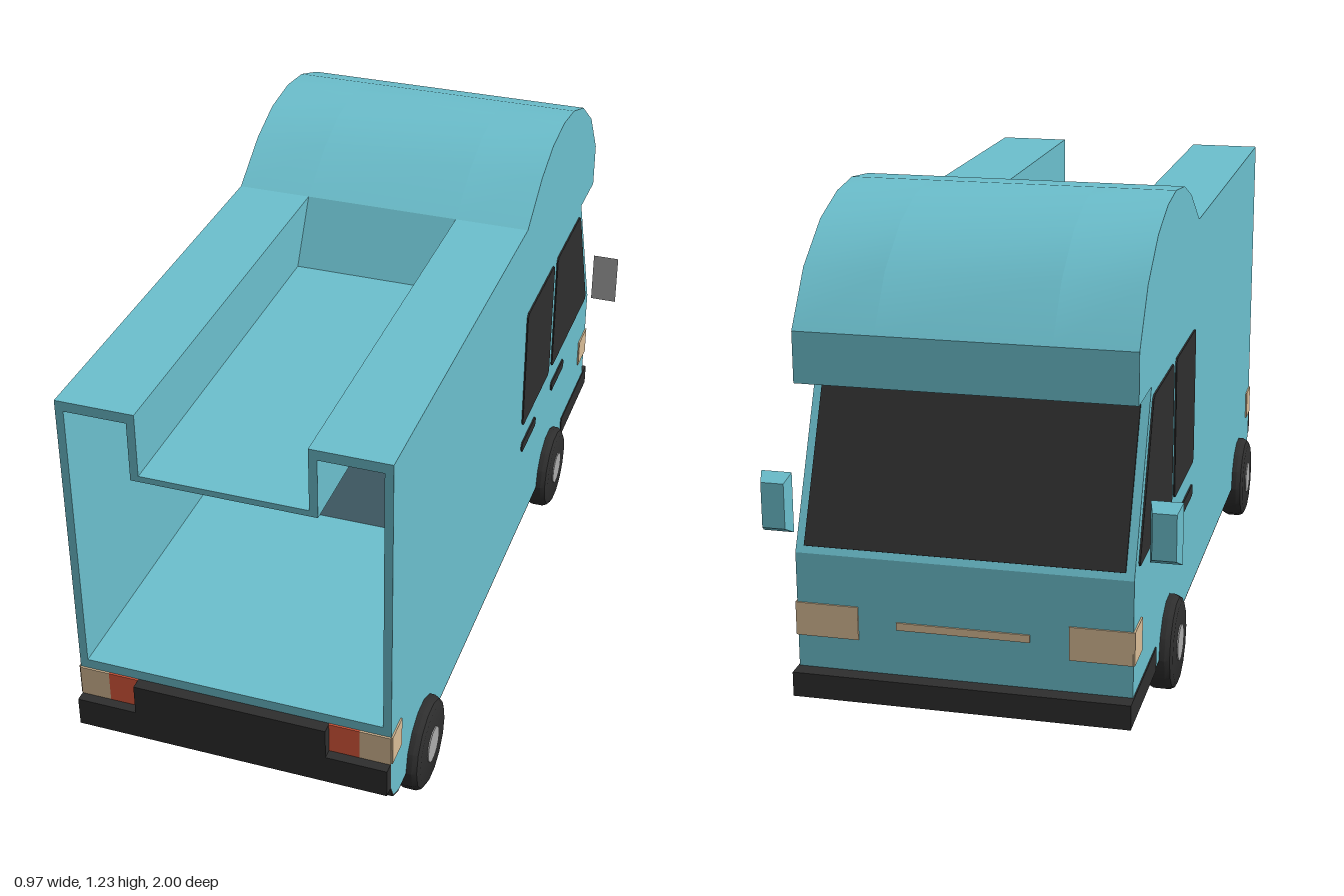
import * as THREE from 'three';
import { toCreasedNormals } from 'three/addons/utils/BufferGeometryUtils.js';

const mat = (name, color) => Object.assign(new THREE.MeshStandardMaterial({ color }), { name });

const shapeOf = (pts) => new THREE.Shape(pts.map(([a, b]) => new THREE.Vector2(a, b)));

// Side profile given as [z, y] points, extruded from x0 to x1
function acrossX(pts, x0, x1) {
  const g = new THREE.ExtrudeGeometry(shapeOf(pts), { depth: x1 - x0, bevelEnabled: false });
  g.rotateY(-Math.PI / 2).translate(x1, 0, 0);
  return toCreasedNormals(g, 0.4);
}

// Cross-section given as [x, y] points, extruded from z0 to z1
function alongZ(pts, z0, z1, hole) {
  const s = shapeOf(pts);
  if (hole) s.holes.push(shapeOf(hole));
  return new THREE.ExtrudeGeometry(s, { depth: z1 - z0, bevelEnabled: false }).translate(0, 0, z0);
}

function box(x0, x1, y0, y1, z0, z1) {
  return new THREE.BoxGeometry(x1 - x0, y1 - y0, z1 - z0)
    .translate((x0 + x1) / 2, (y0 + y1) / 2, (z0 + z1) / 2);
}

const rect = (z0, z1, y0, y1) => [[z0, y0], [z1, y0], [z1, y1], [z0, y1]];

// Rectangle with the corners cut
const softRect = (z0, z1, y0, y1, r) => [
  [z0 + r, y0], [z1 - r, y0], [z1, y0 + r], [z1, y1 - r],
  [z1 - r, y1], [z0 + r, y1], [z0, y1 - r], [z0, y0 + r],
];

// Cross-section with a notch in its top
const notched = (w, n, y0, yn, y1) => [
  [-w, y0], [w, y0], [w, y1], [n, y1], [n, yn], [-n, yn], [-n, y1], [-w, y1],
];

export function createModel() {
  const model = new THREE.Group();
  model.name = 'camperVan';
  const teal = mat('bodyTeal', 0x6cc0ce);
  const black = mat('trimBlack', 0x2e2e2e);
  const slate = mat('innerWallSlate', 0x6f9aa9);
  const tan = mat('lampTan', 0xdabd97);
  const red = mat('lampRed', 0xdf5b3d);
  const grey = mat('metalGrey', 0xacacac);

  const add = (name, geometry, material, parent = model) => {
    const m = new THREE.Mesh(geometry, material);
    m.name = name;
    parent.add(m);
    return m;
  };

  const W = 0.39, N = 0.2, WALL = 0.24, BACK = 0.97;

  // Cab and domed roof: two tall side slices and a centre slice with the roof channel
  const cab = [
    [-0.13, 1.09], [-0.26, 1.175], [-0.37, 1.217], [-0.49, 1.23], [-0.6, 1.217],
    [-0.72, 1.175], [-0.84, 1.09], [-0.93, 0.965], [-0.93, 0.845], [-0.78, 0.845],
    [-0.96, 0.455], [-0.96, 0.12], [WALL, 0.12],
  ];
  add('cabCentre', acrossX([[WALL, 0.93], [-0.04, 0.93], ...cab], -N, N), teal);
  add('cabLeft', acrossX([[WALL, 1.09], ...cab], N, W), teal);
  add('cabRight', acrossX([[WALL, 1.09], ...cab], -W, -N), teal);

  // Open cargo box with the roof channel
  add('cargoShell', alongZ(notched(W, N, 0.18, 0.93, 1.09), WALL, BACK,
    notched(0.37, 0.22, 0.36, 0.915, 1.065)), teal);
  add('cargoInnerWall', alongZ(notched(0.37, 0.22, 0.36, 0.915, 1.065), WALL, WALL + 0.005), slate);
  add('cargoSill', acrossX([[WALL, 0.18], [WALL, 0.12], [0.91, 0.12], [0.95, 0.14], [BACK, 0.18]],
    -W, W), teal);

  // Black underside
  add('underside', acrossX([
    [-0.96, 0.12], [-0.96, 0.116], [0.912, 0.116], [0.954, 0.137], [0.975, 0.18],
    [BACK, 0.18], [0.95, 0.14], [0.91, 0.12],
  ], -W, W), black);

  // Bumpers
  add('frontBumper', box(-0.393, 0.393, 0.118, 0.177, -1, -0.68), black);
  add('rearBumper', box(-W, W, 0.18, 0.255, BACK, 1), black);
  add('rearBumperPanel', box(-0.24, 0.24, 0.255, 0.335, BACK, 1), black);

  // Windscreen lies on the sloping cab front
  add('windscreen', acrossX([
    [-0.7915, 0.82], [-0.797, 0.8225], [-0.9585, 0.4725], [-0.953, 0.47],
  ], -0.37, 0.37), black);
  add('noseStrip', box(-0.155, 0.155, 0.288, 0.306, -0.964, -0.958), tan);

  // Painted details repeated on both sides
  const sideWindow = softRect(-0.46, -0.17, 0.47, 0.82, 0.01);
  const cabWindow = [
    [-0.505, 0.47], [-0.905, 0.47], [-0.912, 0.48], [-0.768, 0.812],
    [-0.755, 0.82], [-0.505, 0.82], [-0.495, 0.81], [-0.495, 0.48],
  ];
  for (const s of [1, -1]) {
    const side = s > 0 ? 'left' : 'right';
    const plate = (name, pts, m) =>
      add(side + name, acrossX(pts, s * W - 0.004, s * W + 0.004), m);
    plate('SideWindow', sideWindow, black);
    plate('CabWindow', cabWindow, black);
    plate('RearHandle', softRect(-0.325, -0.175, 0.38, 0.41, 0.008), black);
    plate('FrontHandle', softRect(-0.65, -0.505, 0.38, 0.41, 0.008), black);
    plate('HeadlampSide', rect(-0.962, -0.872, 0.255, 0.335), tan);
    plate('TailLampSide', rect(0.9, BACK, 0.255, 0.335), tan);

    const span = (a, b) => (s > 0 ? [a, b] : [-b, -a]);
    add(side + 'Headlamp', box(...span(0.245, W), 0.255, 0.335, -0.964, -0.958), tan);
    add(side + 'TailLampOuter', box(...span(0.315, W), 0.255, 0.335, BACK - 0.002, BACK + 0.005), tan);
    add(side + 'TailLampInner', box(...span(0.24, 0.315), 0.255, 0.335, BACK - 0.002, BACK + 0.005), red);

    // Mirror: box tapered toward the front with a grey glass face
    const g = new THREE.BoxGeometry(0.073, 0.145, 0.032);
    const p = g.attributes.position;
    for (let i = 0; i < p.count; i++) {
      if (p.getZ(i) < 0) p.setXY(i, p.getX(i) * 0.75, p.getY(i) * 0.75);
    }
    g.computeVertexNormals();
    add(side + 'Mirror', g, [teal, teal, teal, teal, grey, teal])
      .position.set(s * 0.45, 0.552, -0.918);
  }

  // Wheels: single in front, paired at the rear
  const tyreGeo = toCreasedNormals(new THREE.LatheGeometry([
    [0, -0.034], [0.1, -0.034], [0.112, -0.028], [0.118, -0.016],
    [0.118, 0.016], [0.112, 0.028], [0.1, 0.034], [0, 0.034],
  ].map(([r, y]) => new THREE.Vector2(r, y)), 14).rotateZ(Math.PI / 2), 0.6);
  const hubGeo = new THREE.CylinderGeometry(0.045, 0.045, 0.074, 14).rotateZ(Math.PI / 2);
  const wheel = (name, x, z) => {
    const w = new THREE.Group();
    w.name = name;
    add('tyre', tyreGeo, black, w);
    add('hub', hubGeo, grey, w);
    w.position.set(x, 0.118, z);
    model.add(w);
  };
  for (const s of [1, -1]) {
    wheel('frontWheel', s * 0.387, -0.51);
    wheel('rearOuterWheel', s * 0.387, 0.735);
    wheel('rearInnerWheel', s * 0.312, 0.735);
  }
  return model;
}
